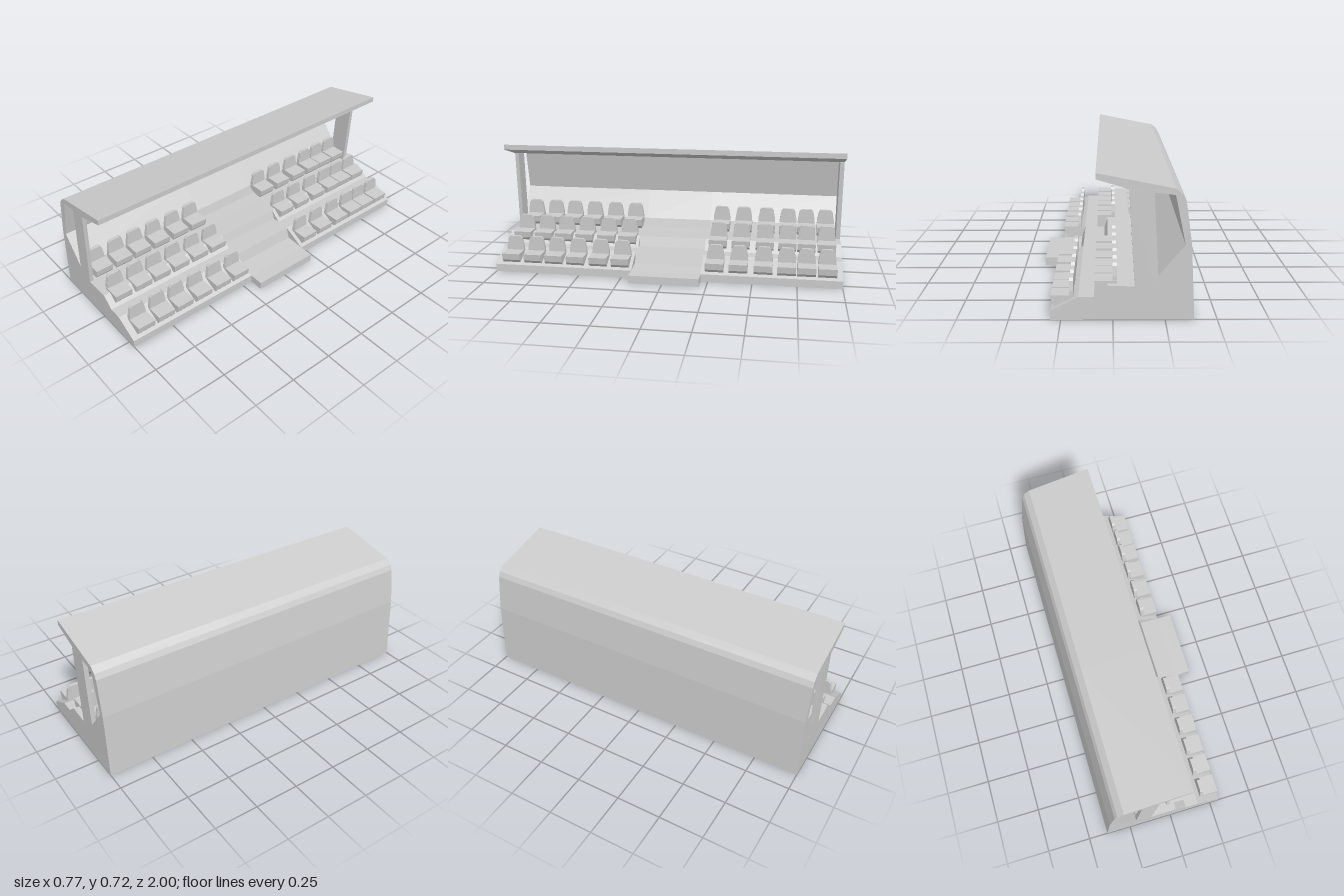
import * as THREE from 'three';

const material = new THREE.MeshStandardMaterial({ color: 0xcccccc, flatShading: true });

// Closed outline extruded along z from z0 to z1
function extrude(points, z0, z1) {
  const shape = new THREE.Shape(points.map(([x, y]) => new THREE.Vector2(x, y)));
  return new THREE.ExtrudeGeometry(shape, { depth: z1 - z0, bevelEnabled: false }).translate(0, 0, z0);
}

function part(name, geometry) {
  const mesh = new THREE.Mesh(geometry, material);
  mesh.name = name;
  return mesh;
}

// Cross-section of rear wall and roof: outer skin, then inner skin down to the top tier
const shell = [
  [-0.20, 0.168], [-0.215, 0.222], [-0.34, 0.375], [-0.29, 0.614], [-0.085, 0.639], [0.08, 0.688],
  [0.08, 0.718], [-0.29, 0.645], [-0.325, 0.617], [-0.34, 0.587], [-0.37, 0.375], [-0.39, 0],
];
// Floor profiles, from the front edge up to the top tier
const seatFloor = [[0.30, 0], [0.30, 0.045], [0.165, 0.117], [0.09, 0.117], [0.025, 0.173], [-0.12, 0.168]];
const aisleFloor = [[0.385, 0], [0.385, 0.045], [0.30, 0.045], [0.185, 0.053], [0.165, 0.117],
  [0.045, 0.117], [0.025, 0.173], [-0.12, 0.168]];

const AISLE = [-0.21, 0.19];
const SEAT_Z = [0.91, 0.78, 0.655, 0.525, 0.39, 0.26, -0.285, -0.42, -0.56, -0.69, -0.80, -0.915];
const ROWS = [[0.19, 0.11], [-0.02, 0.185], [-0.212, 0.235]];

// Seat origin: rear edge at cushion-top height
const cushionGeometry = extrude(
  [[0, -0.03], [0.045, -0.05], [0.09, -0.055], [0.104, -0.038], [0.11, 0], [0, 0]], -0.052, 0.052);
const backGeometry = extrude(
  [[-0.052, -0.03], [0.052, -0.03], [0.05, 0.02], [0.041, 0.07], [0.03, 0.084],
    [-0.03, 0.084], [-0.041, 0.07], [-0.05, 0.02]], 0, 0.021).rotateY(Math.PI / 2);

function createSeat() {
  const seat = new THREE.Group();
  seat.name = 'seat';
  seat.add(part('seatCushion', cushionGeometry), part('seatBack', backGeometry));
  return seat;
}

export function createModel() {
  const model = new THREE.Group();
  model.name = 'coveredStand';

  // Stand body: two seating bays with the stepped aisle between
  model.add(
    part('rearBay', extrude([...seatFloor, ...shell], -1, AISLE[0])),
    part('aisleBay', extrude([...aisleFloor, ...shell], ...AISLE)),
    part('frontBay', extrude([...seatFloor, ...shell], AISLE[1], 1)),
  );

  // End columns, leaving an open window behind each
  const column = (front) => [
    [-0.20, 0.168], [front - 0.028, 0.168], [front, 0.639], [-0.192, 0.626], [-0.215, 0.222],
  ];
  model.add(
    part('frontEndColumn', extrude(column(-0.096), 0.978, 1)),
    part('rearEndColumn', extrude(column(-0.075), -1, -0.975)),
  );

  // Three rows of seats
  ROWS.forEach(([x, y], i) => {
    const row = new THREE.Group();
    row.name = `seatRow${i + 1}`;
    for (const z of SEAT_Z) {
      const seat = createSeat();
      seat.position.set(x, y, z);
      row.add(seat);
    }
    model.add(row);
  });

  return model;
}
